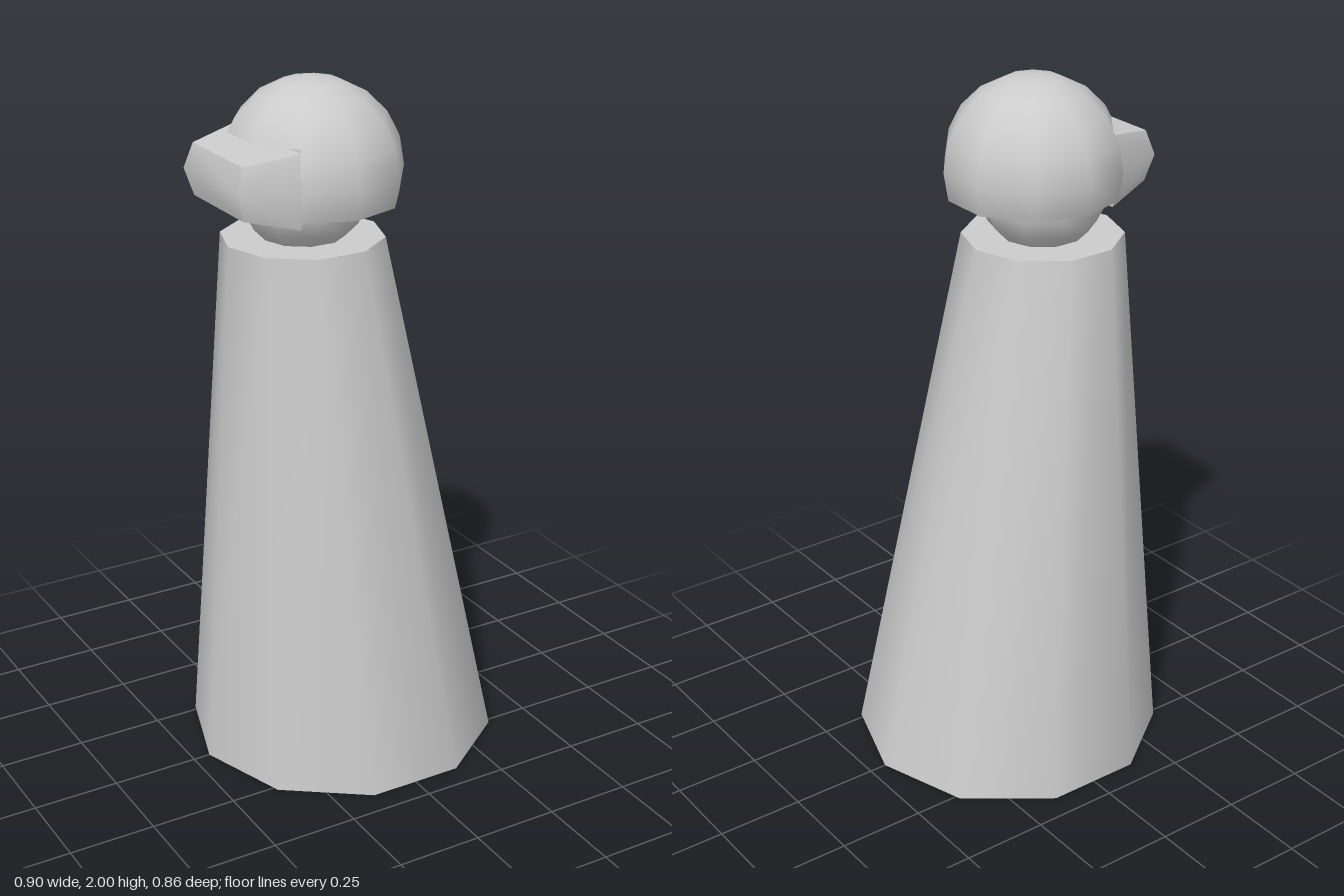
import * as THREE from 'three';
import { toCreasedNormals } from 'three/addons/utils/BufferGeometryUtils.js';
import { ConvexGeometry } from 'three/addons/geometries/ConvexGeometry.js';

const SIDES = 10;
const STEP = (Math.PI * 2) / SIDES;
const material = new THREE.MeshStandardMaterial({ color: 0xcccccc });
const shellMaterial = new THREE.MeshStandardMaterial({ color: 0xcccccc, side: THREE.DoubleSide });

function addMesh(parent, name, geometry, mat = material) {
  const mesh = new THREE.Mesh(geometry, mat);
  mesh.name = name;
  parent.add(mesh);
  return mesh;
}

// Lathed band of the helmet, shaded as part of a sphere
function helmetBand(profile, phiStart, segments) {
  const points = profile.map(([r, y]) => new THREE.Vector2(r, y));
  const geo = new THREE.LatheGeometry(points, segments, phiStart, segments * STEP);
  const pos = geo.attributes.position;
  const n = new THREE.Vector3();
  for (let i = 0; i < pos.count; i++) {
    n.fromBufferAttribute(pos, i).normalize();
    geo.attributes.normal.setXYZ(i, n.x, n.y, n.z);
  }
  return geo;
}

// Flat horizontal polygon following the helmet's corners
function helmetCap(radius, y, phiStart, corners) {
  const points = [];
  for (let i = 0; i < corners; i++) {
    const a = phiStart + i * STEP;
    points.push(new THREE.Vector2(radius * Math.sin(a), -radius * Math.cos(a)));
  }
  const geo = new THREE.ShapeGeometry(new THREE.Shape(points));
  geo.rotateX(Math.PI / 2); // faces down
  geo.scale(1, 1, -1);
  // the mirror flips the winding, so turn the triangles back
  const index = geo.index.array;
  for (let i = 0; i < index.length; i += 3) [index[i], index[i + 1]] = [index[i + 1], index[i]];
  geo.computeVertexNormals();
  return geo.translate(0, y, 0);
}

export function createModel() {
  const model = new THREE.Group();
  model.name = 'helmetedPawn';

  // Body: tapered column whose top leans toward -x
  const height = 1.555;
  const body = new THREE.CylinderGeometry(0.228, 0.45, height, SIDES, 1, false, Math.PI / 2);
  body.translate(0, height / 2, 0);
  const pos = body.attributes.position;
  for (let i = 0; i < pos.count; i++) {
    pos.setX(i, pos.getX(i) - 0.122 * (pos.getY(i) / height));
  }
  addMesh(model, 'body', toCreasedNormals(body, 0.9));

  // Head, sunk slightly into the body
  addMesh(model, 'head', new THREE.SphereGeometry(0.187, SIDES, SIDES)).position.set(-0.12, 1.7, 0);

  // Helmet: dome with a three-sided face opening toward -x
  const helmet = new THREE.Group();
  helmet.name = 'helmet';
  helmet.position.set(-0.113, 1.745, 0.035);
  model.add(helmet);

  const R = 0.256;
  const ring = (deg) => {
    const a = THREE.MathUtils.degToRad(deg);
    return [R * Math.cos(a), R * Math.sin(a)];
  };
  const brow = [0.226, 0.115];
  const lower = [ring(-18), ring(0), ring(18), brow];
  const openStart = Math.PI * 1.8;

  addMesh(helmet, 'helmetCrown', helmetBand([brow, ring(36), ring(54), ring(72), [0, R]], 0, SIDES), shellMaterial);
  addMesh(helmet, 'helmetSides', helmetBand(lower, openStart, 7), shellMaterial);
  addMesh(helmet, 'helmetBrow', helmetCap(brow[0], brow[1], 0, SIDES), shellMaterial);
  addMesh(helmet, 'helmetUnderside', helmetCap(ring(-18)[0], ring(-18)[1], openStart, 8), shellMaterial);

  // Wall at the back of the face opening
  const wall = [];
  for (let i = 0; i < lower.length - 1; i++) {
    const [a, b, c, d] = [[lower[i], -1], [lower[i], 1], [lower[i + 1], 1], [lower[i + 1], -1]].map(
      ([[r, y], s]) => [r * Math.sin(openStart), y, s * r * Math.cos(openStart)]
    );
    wall.push(...a, ...b, ...c, ...a, ...c, ...d);
  }
  const wallGeo = new THREE.BufferGeometry();
  wallGeo.setAttribute('position', new THREE.Float32BufferAttribute(wall, 3));
  wallGeo.computeVertexNormals();
  addMesh(helmet, 'helmetFaceWall', wallGeo, shellMaterial);

  // Visor: faceted block narrowing outward; each entry is x, y, half width
  const visorRows = [
    [-0.248, 1.85, 0.185], [-0.256, 1.755, 0.21], [-0.248, 1.645, 0.185],
    [-0.395, 1.825, 0.142], [-0.417, 1.755, 0.157], [-0.395, 1.68, 0.142],
  ];
  const corners = visorRows.flatMap(([x, y, w]) => [-w, w].map((z) => new THREE.Vector3(x, y, z + 0.037)));
  addMesh(model, 'visor', toCreasedNormals(new ConvexGeometry(corners), 0.9));

  return model;
}
